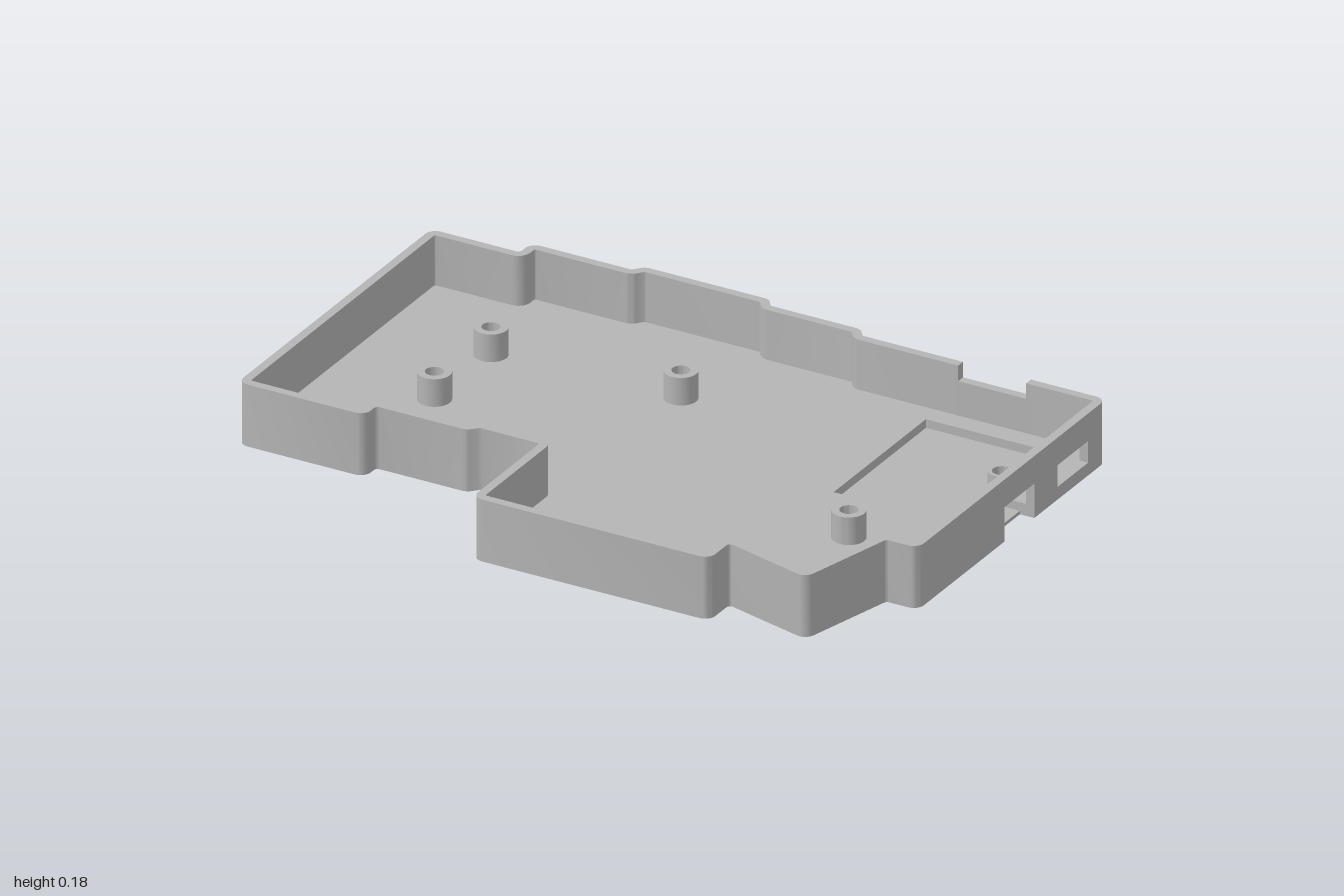
import * as THREE from 'three';
import { toCreasedNormals } from 'three/addons/utils/BufferGeometryUtils.js';

const HEIGHT = 0.18, WALL = 0.025, FLOOR = 0.035, RECESS = 0.01;

// Rounded [x, z] path, moved inwards by t; corners round 0.03 outwards, 0.01 inwards.
function roundedPath(points, t) {
  const normals = points.slice(1).map(([x, z], i) => {
    const dx = x - points[i][0], dz = z - points[i][1], l = Math.hypot(dx, dz);
    return [-dz / l, dx / l];
  });
  const out = [];
  points.forEach(([x, z], i) => {
    if (i === 0 || i === points.length - 1) {
      const n = normals[Math.min(i, normals.length - 1)];
      out.push([x + n[0] * t, z + n[1] * t]);
      return;
    }
    const a = normals[i - 1], b = normals[i];
    const dot = a[0] * b[0] + a[1] * b[1], turn = Math.atan2(a[0] * b[1] - a[1] * b[0], dot);
    const r = turn > 0 ? 0.03 : -0.01;
    const cx = x + r * (a[0] + b[0]) / (1 + dot), cz = z + r * (a[1] + b[1]) / (1 + dot);
    const start = Math.atan2(a[1], a[0]);
    for (let k = 0; k <= 6; k++) {
      const angle = start + turn * k / 6;
      out.push([cx - (r - t) * Math.cos(angle), cz - (r - t) * Math.sin(angle)]);
    }
  });
  return out;
}

const planShape = pts => new THREE.Shape(pts.map(([x, z]) => new THREE.Vector2(x, -z)));

function circleHole(shape, x, z, r) {
  const hole = new THREE.Path();
  hole.absarc(x, -z, r, 0, Math.PI * 2, true);
  shape.holes.push(hole);
}

// Raise a plan shape from y0 to y1.
function raise(shape, y0, y1) {
  const g = new THREE.ExtrudeGeometry(shape, { depth: y1 - y0, bevelEnabled: false, curveSegments: 16 });
  g.rotateX(-Math.PI / 2).translate(0, y0, 0);
  return toCreasedNormals(g, 0.6);
}

export function createModel() {
  const model = new THREE.Group();
  model.name = 'enclosureTray';
  const grey = new THREE.MeshStandardMaterial({ color: 0xb4b4b4 });
  grey.name = 'grey plastic';
  const add = (name, geometry) => {
    const mesh = new THREE.Mesh(geometry, grey);
    mesh.name = name;
    model.add(mesh);
  };

  // Outline from the side panel, round the front, to the notch in the back
  const mainLine = [
    [1, -0.06], [1, 0.355], [0.905, 0.355], [0.83, 0.645], [0.562, 0.575], [0.562, 0.677],
    [-0.147, 0.677], [-0.147, 0.325], [-0.325, 0.325], [-0.35, 0.352], [-0.62, 0.352],
    [-0.62, 0.41], [-1, 0.41], [-1, -0.597], [-0.735, -0.597], [-0.735, -0.655],
    [-0.435, -0.655], [-0.41, -0.685], [-0.04, -0.685], [-0.02, -0.655],
    [0.25, -0.655], [0.272, -0.625], [0.572, -0.625],
  ];
  const cornerLine = [[0.775, -0.625], [1, -0.625], [1, -0.56]];

  // Walls
  const wall = line => planShape([...roundedPath(line, 0), ...roundedPath(line, WALL).reverse()]);
  add('mainWall', raise(wall(mainLine), 0, HEIGHT));
  add('cornerWall', raise(wall(cornerLine), 0, HEIGHT));
  add('notchedBackWall', raise(wall([[0.572, -0.625], [0.775, -0.625]]), 0, 0.135));

  // Side panel with a port open to the bottom and a closed window
  const panel = new THREE.Shape([
    [0.06, 0], [0.095, 0], [0.095, 0.1], [0.25, 0.1], [0.25, 0], [0.56, 0], [0.56, HEIGHT], [0.06, HEIGHT],
  ].map(p => new THREE.Vector2(...p)));
  panel.holes.push(new THREE.Path([
    [0.37, 0.037], [0.37, 0.1], [0.53, 0.1], [0.53, 0.037],
  ].map(p => new THREE.Vector2(...p))));
  const panelGeometry = new THREE.ExtrudeGeometry(panel, { depth: WALL, bevelEnabled: false });
  panelGeometry.rotateY(Math.PI / 2).translate(1 - WALL, 0, 0);
  add('portPanel', panelGeometry);

  // Floor in two layers; the upper one leaves the recess and its channel to the port
  const ventX = 0.865, ventZ = -0.315, holeR = 0.025, edge = 1 - WALL;
  const floor = cut => {
    const shape = planShape([...roundedPath(cornerLine, WALL), ...cut, ...roundedPath(mainLine, WALL)]);
    circleHole(shape, ventX, ventZ, holeR);
    return shape;
  };
  add('floorBase', raise(floor([
    [edge, -0.25], [0.957, -0.25], [0.957, -0.095], [edge, -0.095],
  ]), 0, RECESS));
  add('floorTop', raise(floor([
    [edge, -0.25], [0.832, -0.25], [0.832, -0.54], [0.51, -0.54],
    [0.51, -0.06], [0.832, -0.06], [0.832, -0.095], [edge, -0.095],
  ]), RECESS, FLOOR));

  // Screw posts, and a short post round the through hole
  const post = (name, x, z, r, top) => {
    const shape = new THREE.Shape();
    shape.absarc(x, -z, r, 0, Math.PI * 2, false);
    circleHole(shape, x, z, holeR);
    add(name, raise(shape, FLOOR, top));
  };
  [[-0.652, -0.302], [-0.652, -0.008], [-0.102, -0.332], [0.672, 0.143], [0.208, 0.6]]
    .forEach(([x, z], i) => post('screwPost' + (i + 1), x, z, 0.046, 0.115));
  post('throughHolePost', ventX, ventZ, 0.036, 0.075);

  return model;
}
